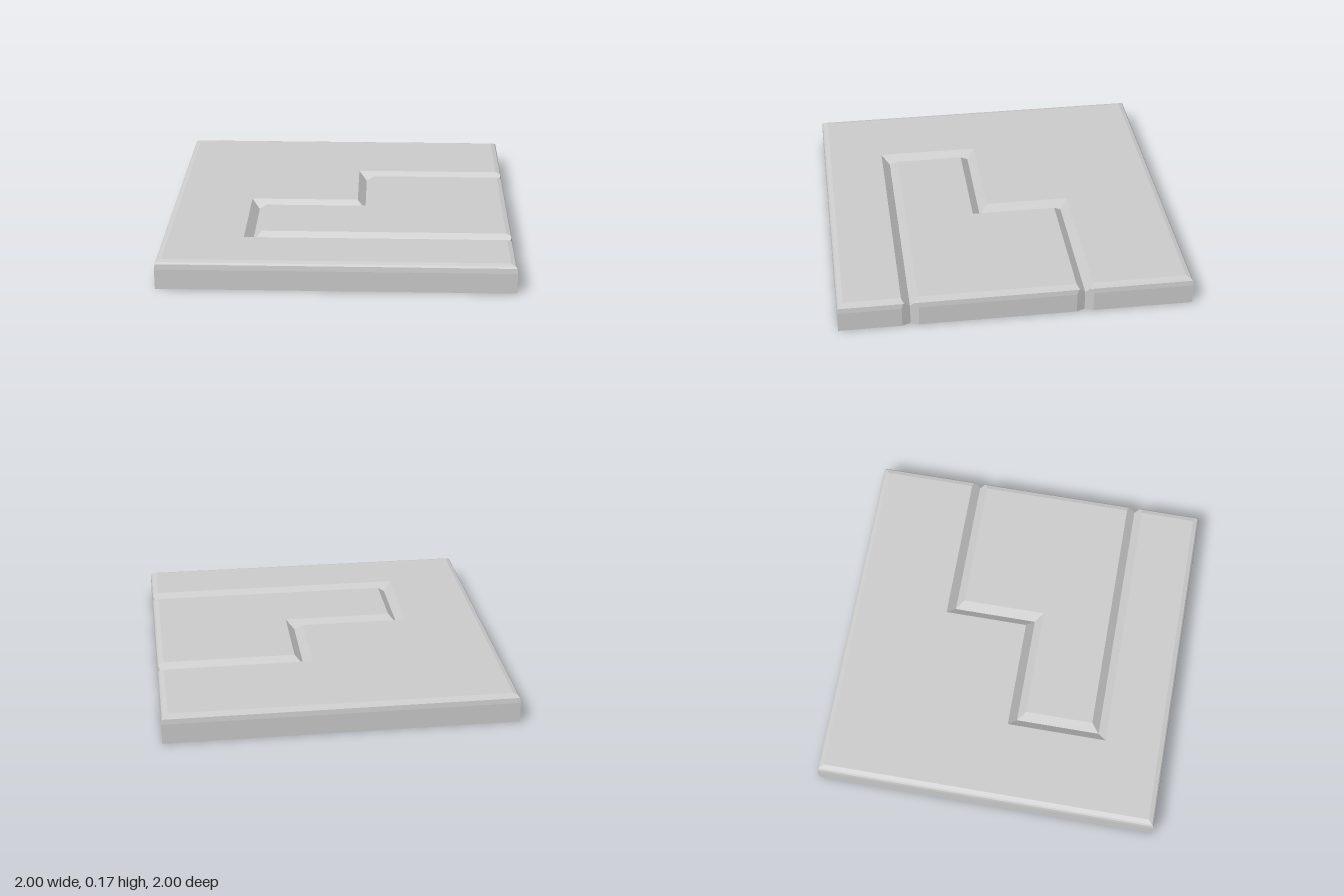
import * as THREE from 'three';

const GROOVE = 0.047;      // groove half width and depth
const NOTCH = 0.02;        // how far the grooves bite into the +x side
const TOP = 0.165;
const Z_BACK = -0.385, Z_FRONT = 0.597; // groove centre lines at the +x side

// Horizontal slices: [height, inset of the rounded rim]
const SLICES = [[0, 0], [TOP - GROOVE, 0], [0.147, 0.004], [0.157, 0.012], [TOP, 0.037]];

// Stepped groove line moved sideways by g (positive towards the inlaid piece)
const groovePath = (g) => [
  [0.15 + g, Z_BACK + g],
  [0.15 + g, 0.105 + g],
  [-0.487 + g, 0.105 + g],
  [-0.487 + g, Z_FRONT - g],
];

// Two points where a groove wall meets the +x side through the V notch
function grooveEnd(zc, g, dir, inset) {
  const x = 1 - inset, w = Math.abs(g);
  const notchWidth = ((x - 1 + NOTCH) / NOTCH) * GROOVE;
  return [
    [x, zc + dir * Math.max(w, notchWidth)],
    [Math.min(x, 1 - NOTCH + (NOTCH * w) / GROOVE), zc + dir * w],
  ];
}

// Outline of one half at a slice, counter-clockwise from above
function outline(inner, y, inset) {
  const g = Math.max(0, y - (TOP - GROOVE)) * (inner ? 1 : -1);
  const s = inner ? 1 : -1, e = 1 - inset;
  const back = grooveEnd(Z_BACK, g, s, inset);
  const front = grooveEnd(Z_FRONT, g, -s, inset);
  const line = [...back, ...groovePath(g), ...front.reverse()];
  return inner ? line : [[e, -e], [-e, -e], [-e, e], [e, e], ...line.reverse()];
}

// Stack the slices into walls and close them with caps
function slabGeometry(inner) {
  const rings = SLICES.map(([y, inset]) =>
    outline(inner, y, inset).map(([x, z]) => new THREE.Vector3(x, y, z)));
  const points = [];
  const tri = (a, b, c) => {
    if (new THREE.Triangle(a, b, c).getArea() > 1e-8) points.push(a, b, c);
  };
  const firstGroove = inner ? 1 : 5;
  for (let k = 0; k < rings.length - 1; k++) {
    const lo = rings[k], hi = rings[k + 1];
    lo.forEach((a, i) => {
      // below the groove the two halves are one solid
      if (k === 0 && i >= firstGroove && i < firstGroove + 5) return;
      const j = (i + 1) % lo.length;
      tri(a, lo[j], hi[j]);
      tri(a, hi[j], hi[i]);
    });
  }
  const cap = (ring, up) => {
    const flat = ring.map((p) => new THREE.Vector2(p.x, -p.z));
    for (const [a, b, c] of THREE.ShapeUtils.triangulateShape(flat, [])) {
      if (up) tri(ring[a], ring[b], ring[c]);
      else tri(ring[a], ring[c], ring[b]);
    }
  };
  cap(rings[rings.length - 1], true);
  cap(rings[0], false);
  const geometry = new THREE.BufferGeometry().setFromPoints(points);
  geometry.computeVertexNormals();
  return geometry;
}

export function createModel() {
  const group = new THREE.Group();
  group.name = 'groovedTile';
  const material = new THREE.MeshStandardMaterial({ color: 0xcccccc, flatShading: true });
  // Outer C-shaped slab and the stepped piece inside the groove
  for (const [name, inner] of [['outerSlab', false], ['steppedInlay', true]]) {
    const mesh = new THREE.Mesh(slabGeometry(inner), material);
    mesh.name = name;
    group.add(mesh);
  }
  return group;
}
